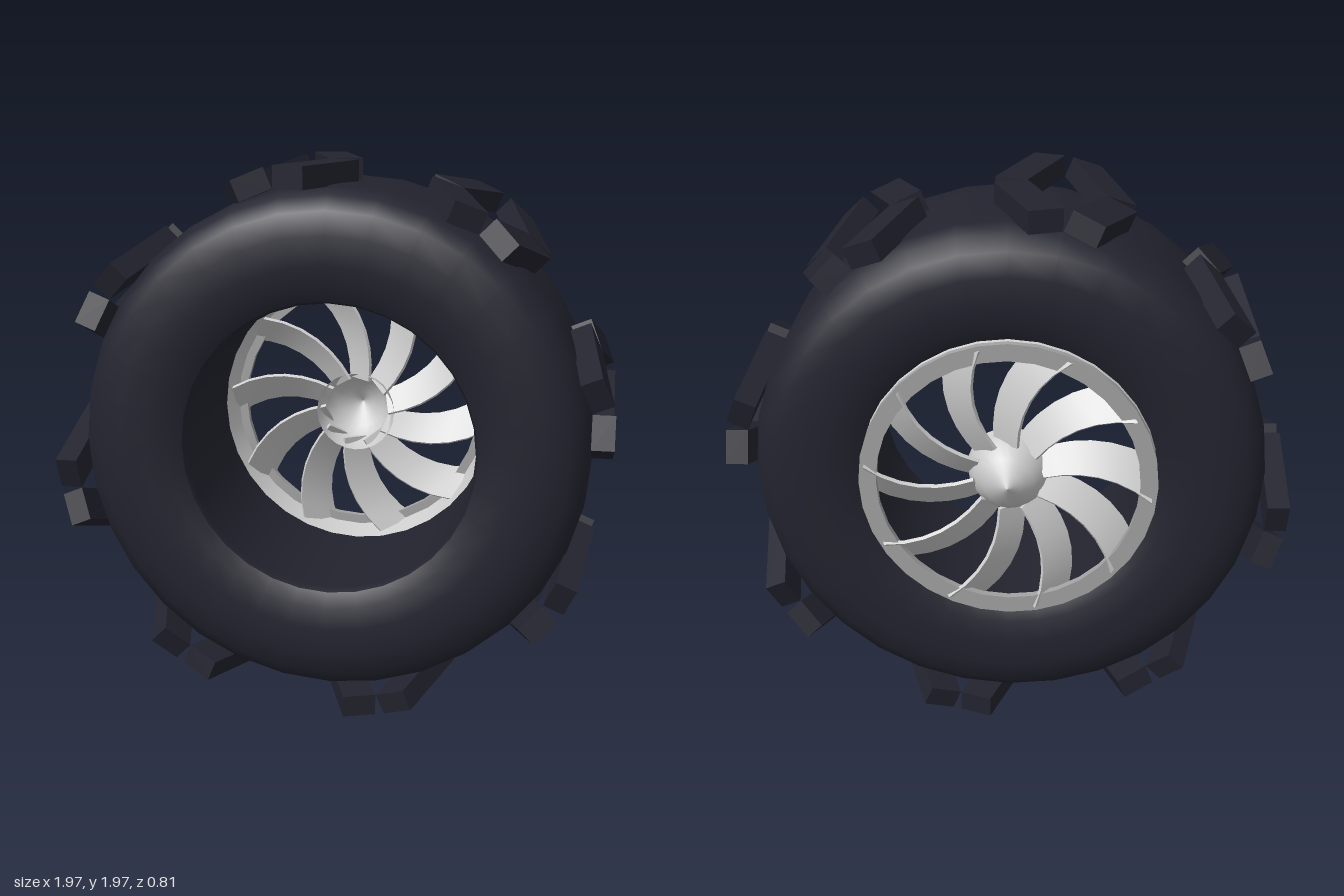
import * as THREE from 'three';

const rubber = new THREE.MeshStandardMaterial({ color: 0x23232f, side: THREE.DoubleSide });
rubber.name = 'dark rubber';
const silver = new THREE.MeshStandardMaterial({ color: 0xcccccc, side: THREE.DoubleSide });
silver.name = 'light silver';
const grey = new THREE.MeshStandardMaterial({ color: 0xa2a2a2 });
grey.name = 'rim grey';

// Revolve a list of [radius, z] points around the z axis
function revolve(name, points, material, sides = 32) {
  const geo = new THREE.LatheGeometry(points.map(([r, z]) => new THREE.Vector2(r, z)), sides);
  geo.rotateX(Math.PI / 2);
  const mesh = new THREE.Mesh(geo, material);
  mesh.name = name;
  return mesh;
}

// Tyre: rounded carcass and a plain bore
function createTyre() {
  const tyre = new THREE.Group();
  tyre.name = 'tyre';
  const half = [[0.917, 0.15], [0.913, 0.24], [0.89, 0.31], [0.84, 0.352], [0.76, 0.375],
    [0.66, 0.375], [0.58, 0.362], [0.53, 0.335]];
  const back = half.map(([r, z]) => [r, -z]).reverse();
  const skin = revolve('tyreCarcass', [...back, ...half], rubber);
  const bore = revolve('tyreBore', [[0.53, 0.335], [0.52, 0.31], [0.53, 0.30], [0.53, -0.335]], rubber);
  tyre.add(skin, bore);
  tyre.position.z = 0.012;
  return tyre;
}

// Tread: sixteen chevrons, alternating in direction so that pairs form diamonds
function createTread() {
  const tread = new THREE.Group();
  tread.name = 'tread';
  const bar = new THREE.BoxGeometry(0.078, 0.12, 0.373);
  const slant = THREE.MathUtils.degToRad(20);
  for (let k = 0; k < 16; k++) {
    const chevron = new THREE.Group();
    chevron.name = 'treadChevron';
    const s = k % 2 ? 1 : -1;
    for (const side of [1, -1]) {
      const lug = new THREE.Mesh(bar, rubber);
      lug.name = 'treadLug';
      lug.position.set(0.948, -s * 0.06, side * 0.195);
      lug.rotation.x = s * side * slant;
      chevron.add(lug);
    }
    chevron.rotation.z = (k * Math.PI) / 8;
    tread.add(chevron);
  }
  tread.position.z = 0.014;
  return tread;
}

// One curved, tilted fan blade running from the hub to the rim
function createSpokeGeometry() {
  const geo = new THREE.BoxGeometry(1, 1, 1, 6, 1, 1);
  const p = geo.attributes.position;
  for (let i = 0; i < p.count; i++) {
    const u = p.getX(i) + 0.5;
    const r = 0.125 + u * 0.385;
    const angle = THREE.MathUtils.degToRad(-22 + 22 * Math.pow(u, 1.4));
    const across = p.getY(i) * (0.085 + 0.045 * u);
    const thick = p.getZ(i) * 0.014;
    const a = angle + (across + thick * 0.6) / r;
    p.setXYZ(i, r * Math.cos(a), r * Math.sin(a), -0.285 - 0.03 * u - across * 0.8 + thick * 0.8);
  }
  geo.computeVertexNormals();
  return geo;
}

function createWheel() {
  const wheel = new THREE.Group();
  wheel.name = 'wheel';
  // Flat flange at the back, with a tapered barrel in front of it
  const flange = [[0.465, -0.362], [0.527, -0.362], [0.527, -0.335], [0.465, -0.335]];
  flange.forEach((a, i) => {
    wheel.add(revolve('rimFlange', [a, flange[(i + 1) % 4]], grey));
  });
  wheel.add(revolve('rimBarrel', [[0.498, -0.337], [0.527, -0.25]], silver));
  // Hollow hub cone pointing backwards
  wheel.add(revolve('hubCone', [[0.001, -0.402], [0.045, -0.375], [0.09, -0.345], [0.125, -0.305],
    [0.145, -0.26], [0.152, -0.215]], silver, 24));
  const spokeGeo = createSpokeGeometry();
  for (let k = 0; k < 10; k++) {
    const spoke = new THREE.Mesh(spokeGeo, silver);
    spoke.name = 'spoke';
    spoke.rotation.z = (k * Math.PI) / 5;
    wheel.add(spoke);
  }
  return wheel;
}

export function createModel() {
  const model = new THREE.Group();
  model.name = 'offRoadWheel';
  model.add(createTyre(), createTread(), createWheel());
  model.position.y = 1;
  const root = new THREE.Group();
  root.name = 'wheelAssembly';
  root.add(model);
  return root;
}
